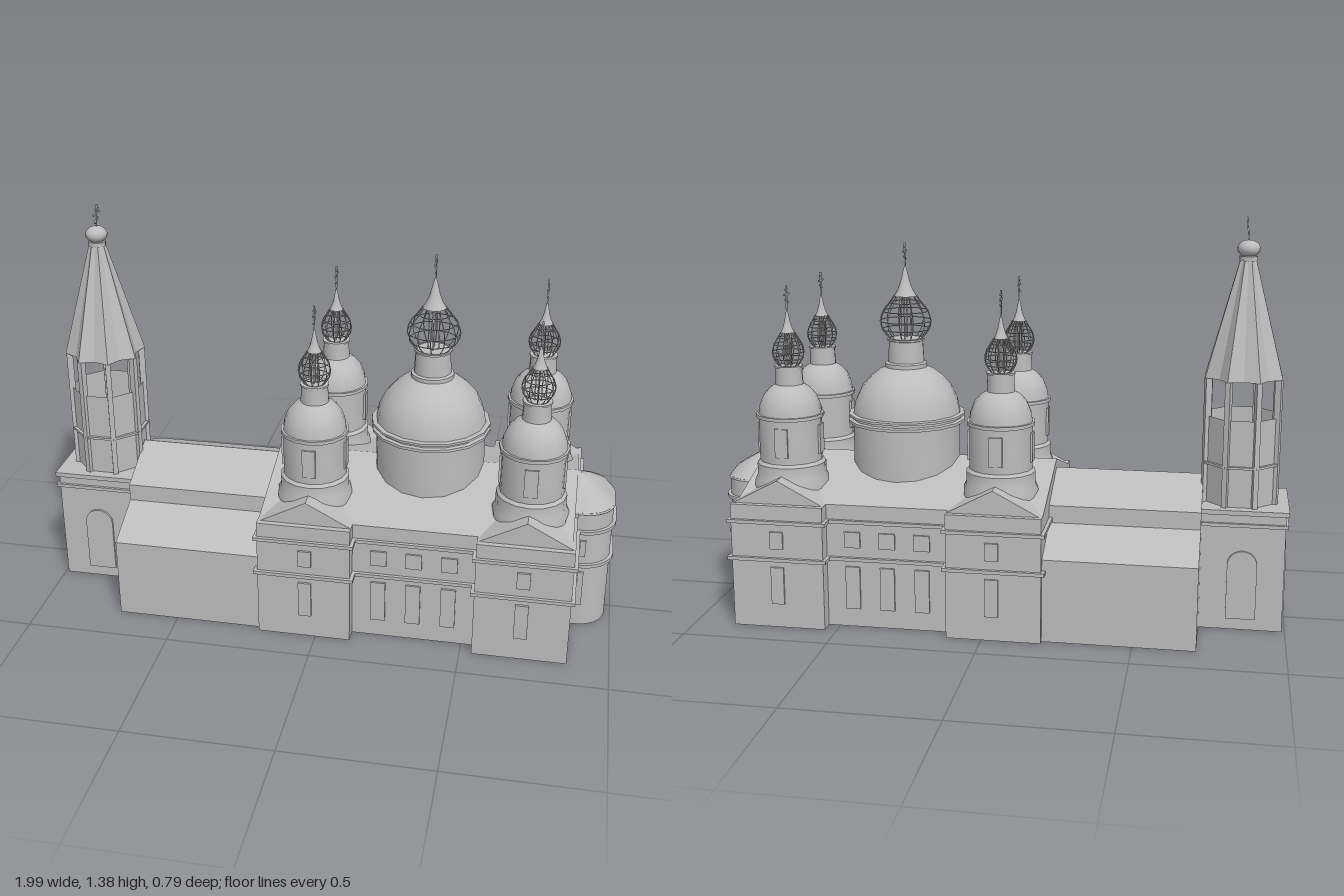
import * as THREE from 'three';
import { toCreasedNormals } from 'three/addons/utils/BufferGeometryUtils.js';
import { ParametricGeometry } from 'three/addons/geometries/ParametricGeometry.js';

const stone = new THREE.MeshStandardMaterial({ color: 0xbcbcbc, side: THREE.DoubleSide });
stone.name = 'grey stone';

function add(parent, name, geometry, x = 0, y = 0, z = 0) {
  const mesh = new THREE.Mesh(geometry, stone);
  mesh.name = name;
  mesh.position.set(x, y, z);
  parent.add(mesh);
  return mesh;
}
const box = (parent, name, w, h, d, x, y, z) => add(parent, name, new THREE.BoxGeometry(w, h, d), x, y, z);
const points = (list) => list.map(([a, b]) => new THREE.Vector2(a, b));
const lathe = (profile, sides = 12) => toCreasedNormals(new THREE.LatheGeometry(points(profile), sides), 0.6);
const extrude = (shape, depth) =>
  toCreasedNormals(new THREE.ExtrudeGeometry(shape, { depth, bevelEnabled: false, curveSegments: 8 }), 0.5);
// Symmetric profile in (z, y), extruded along x
const alongX = (profile, x0, x1) => extrude(new THREE.Shape(points(profile)), x1 - x0).rotateY(Math.PI / 2).translate(x0, 0, 0);
// Plan in (x, z), raised from y0 to y1
const raise = (shape, y0, y1) => extrude(shape, y1 - y0).rotateX(-Math.PI / 2).translate(0, y0, 0);

// Cross lying in the zy plane, with a slanted foot bar
function cross(parent, x, y, z, h) {
  const g = new THREE.Group();
  g.name = 'cross';
  g.position.set(x, y, z);
  box(g, 'crossPost', 0.005, h, 0.006, 0, h / 2, 0);
  box(g, 'crossBar', 0.005, 0.006, h * 0.65, 0, h * 0.62, 0);
  box(g, 'crossTopBar', 0.005, 0.005, h * 0.32, 0, h * 0.82, 0);
  box(g, 'crossFootBar', 0.005, 0.005, h * 0.4, 0, h * 0.34, 0).rotation.x = 0.45;
  parent.add(g);
  return g;
}

// Open wire onion with a solid spire above
function onion(parent, x, y, z, r, h) {
  const g = new THREE.Group();
  g.name = 'onion';
  g.position.set(x, y, z);
  const profile = [[0.62, 0], [0.92, 0.22], [1, 0.42], [0.88, 0.65], [0.62, 0.85], [0.45, 1]];
  const curve = new THREE.CatmullRomCurve3(profile.map(([a, b]) => new THREE.Vector3(a * r, b * h, 0)));
  const wire = new THREE.TubeGeometry(curve, 10, 0.0018, 4);
  for (let i = 0; i < 12; i++) add(g, 'onionRib', wire).rotation.y = (i * Math.PI) / 6;
  for (const [a, b] of profile.slice(0, 5))
    add(g, 'onionHoop', new THREE.TorusGeometry(a * r, 0.0018, 4, 24).rotateX(Math.PI / 2), 0, b * h, 0);
  for (let i = 0; i < 4; i++) {
    const a = (i * Math.PI) / 2;
    box(g, 'onionPost', 0.004, h, 0.004, Math.cos(a) * r * 0.2, h / 2, Math.sin(a) * r * 0.2);
  }
  const spire = [[0.45, 1], [0.3, 1.15], [0.19, 1.33], [0.1, 1.55], [0, 1.76]];
  add(g, 'spire', lathe(spire.map(([a, b]) => [a * r, b * h])));
  cross(g, 0, 1.72 * h, 0, 0.078);
  parent.add(g);
}

// Cathedral plan: four corner bays and a recessed middle, grown by o
function bodyPlan(o) {
  const half = [[-0.2 - o, 0.385 + o], [0.12 + o, 0.385 + o], [0.12 + o, 0.335 + o],
    [0.54 - o, 0.335 + o], [0.54 - o, 0.385 + o], [0.86 + o, 0.385 + o]];
  return new THREE.Shape(points([...half, ...half.map(([x, z]) => [x, -z]).reverse()]));
}
function apsePlan(o) {
  const s = new THREE.Shape();
  s.moveTo(0.84, -0.14 - o);
  s.lineTo(0.88, -0.14 - o);
  s.absarc(0.88, -0.04, 0.1 + o, -Math.PI / 2, 0, false);
  s.absarc(0.88, 0.04, 0.1 + o, 0, Math.PI / 2, false);
  s.lineTo(0.84, 0.14 + o);
  return s;
}

function addBellTower(g) {
  const cx = -0.85, tx = -0.833;
  box(g, 'towerBase', 0.28, 0.42, 0.29, cx, 0.21, 0);
  box(g, 'towerLowerCornice', 0.298, 0.012, 0.308, cx, 0.37, 0);
  box(g, 'towerUpperCornice', 0.3, 0.016, 0.31, cx, 0.414, 0);
  // Arched doors on three sides
  const arch = new THREE.Shape();
  arch.moveTo(-0.05, 0.04);
  arch.lineTo(0.05, 0.04);
  arch.lineTo(0.05, 0.23);
  arch.absarc(0, 0.23, 0.05, 0, Math.PI, false);
  for (const [x, z, turn] of [[cx, 0.145, 0], [cx, -0.145, Math.PI], [-0.99, 0, -Math.PI / 2]])
    add(g, 'archedDoor', extrude(arch, 0.008), x, 0, z).rotation.y = turn;
  // Octagonal belfry with open top
  const flat = (geo) => toCreasedNormals(geo, 0.1);
  add(g, 'belfryFloor', flat(new THREE.CylinderGeometry(0.12, 0.12, 0.01, 8, 1, false, Math.PI / 8)), tx, 0.425, 0);
  add(g, 'belfryWall', flat(new THREE.CylinderGeometry(0.127, 0.127, 0.3, 8, 1, true, Math.PI / 8)), tx, 0.57, 0);
  add(g, 'belfryBand', flat(new THREE.CylinderGeometry(0.138, 0.138, 0.008, 8, 1, false, Math.PI / 8)), tx, 0.56, 0);
  for (let i = 0; i < 8; i++) {
    const a = ((i + 0.5) * Math.PI) / 4;
    const pillar = box(g, 'belfryPillar', 0.018, 0.43, 0.022, tx + Math.sin(a) * 0.126, 0.635, Math.cos(a) * 0.126);
    pillar.rotation.y = a;
  }
  // Pleated tent roof: every other vertex is drawn inward
  const tent = new THREE.CylinderGeometry(0.024, 0.139, 0.41, 16, 1, true, Math.PI / 8);
  const p = tent.attributes.position;
  for (let i = 0; i < p.count; i++)
    if ((i % 17) % 2) p.setXYZ(i, p.getX(i) * 0.82, p.getY(i), p.getZ(i) * 0.82);
  add(g, 'tentRoof', flat(tent), tx, 1.055, 0);
  add(g, 'tentCollar', lathe([[0, 1.24], [0.03, 1.24], [0.03, 1.255], [0, 1.255]]), tx, 0, 0);
  add(g, 'tentBall', new THREE.SphereGeometry(0.038, 16, 10).scale(1, 0.75, 1), tx, 1.28, 0);
  cross(g, tx, 1.3, 0, 0.085).rotation.z = -0.1;
}

function addCornerTower(g, x, z) {
  add(g, 'cornerDrum', lathe([[0.128, 0.42], [0.128, 0.48], [0.118, 0.5], [0.118, 0.54], [0.108, 0.55],
    [0.108, 0.7], [0.116, 0.7], [0.116, 0.712], [0.108, 0.712], [0.104, 0.74], [0.09, 0.775],
    [0.068, 0.8], [0.048, 0.812], [0.045, 0.87], [0.049, 0.87], [0.049, 0.876], [0, 0.876]], 16), x, 0, z);
  // Drum windows on four sides
  for (let i = 0; i < 4; i++) {
    const a = (i * Math.PI) / 2;
    box(g, 'drumWindow', 0.045, 0.1, 0.008, x + Math.sin(a) * 0.107, 0.625, z + Math.cos(a) * 0.107).rotation.y = a;
  }
  onion(g, x, 0.876, z, 0.054, 0.113);
}

export function createModel() {
  const g = new THREE.Group();
  g.name = 'church';
  addBellTower(g);

  // Nave with low side roofs and raised middle roof
  const side = [[0.365, 0], [0.365, 0.285], [0.19, 0.36], [0.19, 0.42]];
  add(g, 'nave', alongX([...side, [0, 0.505], ...side.map(([z, y]) => [-z, y]).reverse()], -0.71, -0.18));

  // Cathedral walls, cornices and main roof
  add(g, 'cathedralWalls', raise(bodyPlan(0), 0, 0.43));
  add(g, 'apseWall', raise(apsePlan(0), 0, 0.445));
  for (const y of [0.236, 0.367]) {
    add(g, 'cornice', raise(bodyPlan(0.012), y, y + 0.012));
    add(g, 'apseCornice', raise(apsePlan(0.012), y, y + 0.012));
  }
  add(g, 'mainRoof', alongX([[-0.335, 0.43], [0.335, 0.43], [0, 0.535]], -0.2, 0.85));
  add(g, 'apseGable', alongX([[-0.15, 0.43], [0.15, 0.43], [0.15, 0.445], [0, 0.535], [-0.15, 0.445]], 0.7, 0.862));

  // Rounded apse roof, drawn in towards the gable peak
  const outline = apsePlan(0.004);
  const roof = new ParametricGeometry((u, v, target) => {
    const q = outline.getPoint(u);
    const s = v < 0.5 ? 1 - 0.4 * v : 1.6 * (1 - v);
    target.set(0.85 + (q.x - 0.85) * s, v < 0.5 ? 0.44 + 0.07 * v : 0.475 + 0.12 * (v - 0.5), -q.y * s);
  }, 32, 4);
  add(g, 'apseRoof', roof);

  // Corner bays: pediments, windows and towers
  for (const x of [-0.035, 0.7]) for (const s of [1, -1]) {
    const pediment = extrude(new THREE.Shape(points([[-0.155, 0.43], [0.155, 0.43], [0, 0.512]])), 0.28);
    add(g, 'pediment', pediment, x, 0, s > 0 ? 0.085 : -0.365);
    box(g, 'bayLowerWindow', 0.045, 0.13, 0.016, x, 0.15, s * 0.385);
    box(g, 'bayUpperWindow', 0.045, 0.06, 0.016, x, 0.31, s * 0.385);
    addCornerTower(g, x, s * 0.195);
  }

  // Windows of the recessed middle and the apse
  for (const s of [1, -1]) {
    for (const x of [0.21, 0.33, 0.45]) {
      box(g, 'middleLowerWindow', 0.05, 0.15, 0.014, x, 0.14, s * 0.335);
      box(g, 'middleUpperWindow', 0.055, 0.055, 0.014, x, 0.31, s * 0.335);
    }
    box(g, 'apseLowerWindow', 0.02, 0.13, 0.014, 0.885, 0.15, s * 0.14);
    box(g, 'apseUpperWindow', 0.02, 0.06, 0.014, 0.885, 0.31, s * 0.14);
  }

  // Central drum, dome and lantern
  add(g, 'centralDome', lathe([[0.19, 0.45], [0.19, 0.655], [0.206, 0.655], [0.206, 0.665], [0.194, 0.668],
    [0.194, 0.676], [0.206, 0.678], [0.206, 0.686], [0.19, 0.688], [0.182, 0.73], [0.16, 0.777],
    [0.128, 0.813], [0.095, 0.838], [0.074, 0.848], [0.074, 0.862], [0.064, 0.866], [0.06, 0.94],
    [0.065, 0.942], [0.065, 0.948], [0, 0.948]], 16), 0.335, 0, 0);
  onion(g, 0.335, 0.948, 0, 0.09, 0.148);
  return g;
}
